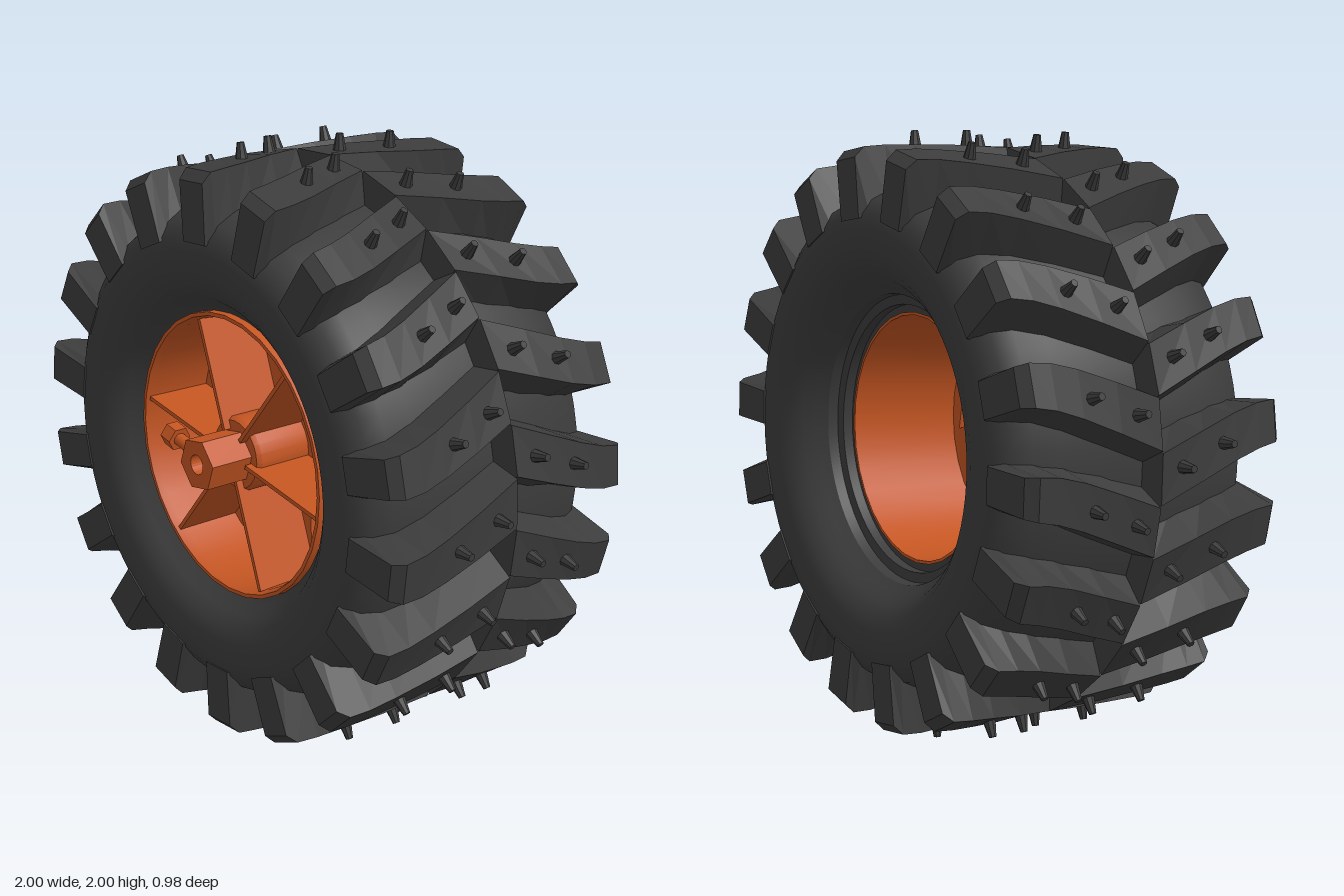
import * as THREE from 'three';
import { toCreasedNormals } from 'three/addons/utils/BufferGeometryUtils.js';

const rubber = new THREE.MeshStandardMaterial({ color: 0x3c3c3c });
const rubberFlat = new THREE.MeshStandardMaterial({ color: 0x3c3c3c, flatShading: true });
const orange = new THREE.MeshStandardMaterial({ color: 0xc45522 });
const orangeThin = new THREE.MeshStandardMaterial({ color: 0xc45522, side: THREE.DoubleSide });

const rad = THREE.MathUtils.degToRad;
const MID = -0.0175; // z of the tread centre line
const LUGS = 18;

// Revolve [radius, z] points (back to front) around the z axis
function revolve(points, segments, crease = 0.6) {
  const g = new THREE.LatheGeometry(points.map(([r, z]) => new THREE.Vector2(r, z)), segments);
  g.rotateX(Math.PI / 2);
  return toCreasedNormals(g, crease);
}

function add(parent, name, geometry, material) {
  const mesh = new THREE.Mesh(geometry, material);
  mesh.name = name;
  parent.add(mesh);
  return mesh;
}

// Point at radius r, angle t in degrees clockwise from the top
const polar = (r, t, z) => [r * Math.sin(rad(t)), r * Math.cos(rad(t)), z];

// Lug lofted through sections:
// distance from centre line, base radius, top radius, slant angle, half angles of base and top
function lugGeometry(side) {
  const sections = [
    [0, 0.82, 0.95, 0, 8.2, 4.8], [0.15, 0.81, 0.953, 3.6, 7.6, 4.6], [0.28, 0.79, 0.953, 6.6, 6.8, 4.4],
    [0.37, 0.76, 0.953, 8.2, 6.2, 4.2], [0.44, 0.73, 0.948, 8.8, 5.8, 4], [0.4725, 0.72, 0.915, 8.9, 4.6, 3.8],
  ];
  const rings = sections.map(([d, base, top, c, wBase, wTop]) => {
    const z = MID + side * d;
    return [polar(base, c - wBase, z), polar(top, c - wTop, z), polar(top, c + wTop, z), polar(base, c + wBase, z)];
  });
  const out = [];
  const quad = (a, b, c, d) => {
    const tris = side > 0 ? [a, b, c, a, c, d] : [a, c, b, a, d, c];
    tris.forEach((p) => out.push(...p));
  };
  for (let i = 0; i + 1 < rings.length; i++) {
    for (let j = 0; j < 4; j++) {
      const k = (j + 1) % 4;
      quad(rings[i][j], rings[i + 1][j], rings[i + 1][k], rings[i][k]);
    }
  }
  const first = rings[0], last = rings[rings.length - 1];
  quad(first[0], first[1], first[2], first[3]);
  quad(last[3], last[2], last[1], last[0]);
  const g = new THREE.BufferGeometry();
  g.setAttribute('position', new THREE.Float32BufferAttribute(out, 3));
  g.computeVertexNormals();
  return g;
}

function buildTyre() {
  const tyre = new THREE.Group();
  tyre.name = 'tyre';

  // Carcass: bulging sidewalls, rounded shoulders, stepped bead at the back
  const half = [[0.5, 0.375], [0.53, 0.415], [0.57, 0.448], [0.62, 0.467], [0.69, 0.4715],
    [0.735, 0.462], [0.78, 0.43], [0.81, 0.37], [0.83, 0.28], [0.842, 0.15]];
  const profile = [
    [0.41, -0.29], [0.44, -0.29], [0.44, -0.325], [0.472, -0.33], [0.476, -0.365],
    ...half.map(([r, d]) => [r, MID - d]),
    [0.848, MID],
    ...half.map(([r, d]) => [r, MID + d]).reverse(),
    [0.475, 0.34],
  ];
  add(tyre, 'carcass', revolve(profile, 72), rubber);

  // Two staggered rows of slanted lugs, each with two studs
  const rows = [
    { side: 1, start: 8, studs: [[0.06, 10], [0.215, 13.6]] },
    { side: -1, start: -2, studs: [[-0.1, 0], [-0.26, 3.6]] },
  ];
  const stud = new THREE.CylinderGeometry(0.012, 0.024, 0.07, 8);
  stud.translate(0, 0.965, 0);
  for (const { side, start, studs } of rows) {
    const lug = lugGeometry(side);
    for (let i = 0; i < LUGS; i++) {
      const turn = (i * 360) / LUGS;
      add(tyre, 'lug', lug, rubberFlat).rotation.z = -rad(start + turn);
      for (const [z, angle] of studs) {
        const m = add(tyre, 'stud', stud, rubberFlat);
        m.position.z = z;
        m.rotation.z = -rad(angle + turn);
      }
    }
  }
  return tyre;
}

function buildRim() {
  const rim = new THREE.Group();
  rim.name = 'rim';

  add(rim, 'barrel', revolve([
    [0.415, -0.3], [0.405, -0.3], [0.405, 0.1], [0.45, 0.12],
    [0.455, 0.34], [0.465, 0.37], [0.478, 0.37], [0.478, 0.33],
  ], 32, 0.4), orangeThin);

  // Disc with six curved triangular openings
  const disc = new THREE.Shape().absarc(0, 0, 0.452, 0, Math.PI * 2, false);
  for (let i = 0; i < 6; i++) {
    const at = (x, y) => new THREE.Vector2(x, y).rotateAround(new THREE.Vector2(), (i * Math.PI) / 3);
    const a = at(0.17, 0.105), b = at(0.34, 0.08), c = at(0.365, -0.04), m = at(0.255, -0.01);
    const hole = new THREE.Path();
    hole.moveTo(a.x, a.y);
    hole.quadraticCurveTo(m.x, m.y, c.x, c.y);
    hole.lineTo(b.x, b.y);
    hole.closePath();
    disc.holes.push(hole);
  }
  const discGeo = new THREE.ExtrudeGeometry(disc, { depth: 0.03, bevelEnabled: false, curveSegments: 24 });
  discGeo.translate(0, 0, 0.1);
  add(rim, 'disc', discGeo, orange);

  // Thin radial fins standing on the disc
  const fin = new THREE.BoxGeometry(0.37, 0.014, 0.24);
  fin.translate(0.27, 0, 0.24);
  for (let i = 0; i < 6; i++) {
    add(rim, 'fin', fin, orange).rotation.z = rad(50 + i * 60);
  }

  // Stepped hub boss running through the disc
  add(rim, 'hub', revolve([
    [0, 0.02], [0.03, 0.02], [0.03, -0.02], [0.06, -0.02], [0.06, 0.01], [0.1, 0.01],
    [0.1, -0.005], [0.13, -0.005], [0.13, 0.03], [0.155, 0.03], [0.155, 0.1],
    [0.125, 0.13], [0.125, 0.32], [0.115, 0.335], [0, 0.335],
  ], 24), orange);

  // Hexagonal hub nut with a bore
  const hex = new THREE.Shape();
  for (let i = 0; i < 6; i++) {
    const t = rad(i * 60 + 10);
    hex[i ? 'lineTo' : 'moveTo'](0.09 * Math.cos(t), 0.09 * Math.sin(t));
  }
  hex.closePath();
  hex.holes.push(new THREE.Path().absarc(0, 0, 0.033, 0, Math.PI * 2, true));
  const nut = new THREE.ExtrudeGeometry(hex, { depth: 0.17, bevelEnabled: false, curveSegments: 12 });
  nut.translate(0, 0, 0.32);
  add(rim, 'hubNut', nut, orange);

  // Clamp screw on the side of the nut
  const screw = new THREE.Group();
  screw.name = 'clampScrew';
  const shank = new THREE.CylinderGeometry(0.022, 0.022, 0.12, 12);
  shank.translate(0, 0.11, 0);
  add(screw, 'screwShank', shank, orange);
  const head = new THREE.CylinderGeometry(0.042, 0.042, 0.05, 6);
  head.translate(0, 0.185, 0);
  add(screw, 'screwHead', toCreasedNormals(head, 0.5), orange);
  screw.position.z = 0.445;
  screw.rotation.z = rad(78);
  rim.add(screw);
  return rim;
}

export function createModel() {
  const wheel = new THREE.Group();
  wheel.name = 'wheel';
  wheel.add(buildTyre(), buildRim());
  wheel.position.y = 1;
  const model = new THREE.Group();
  model.name = 'model';
  model.add(wheel);
  return model;
}
